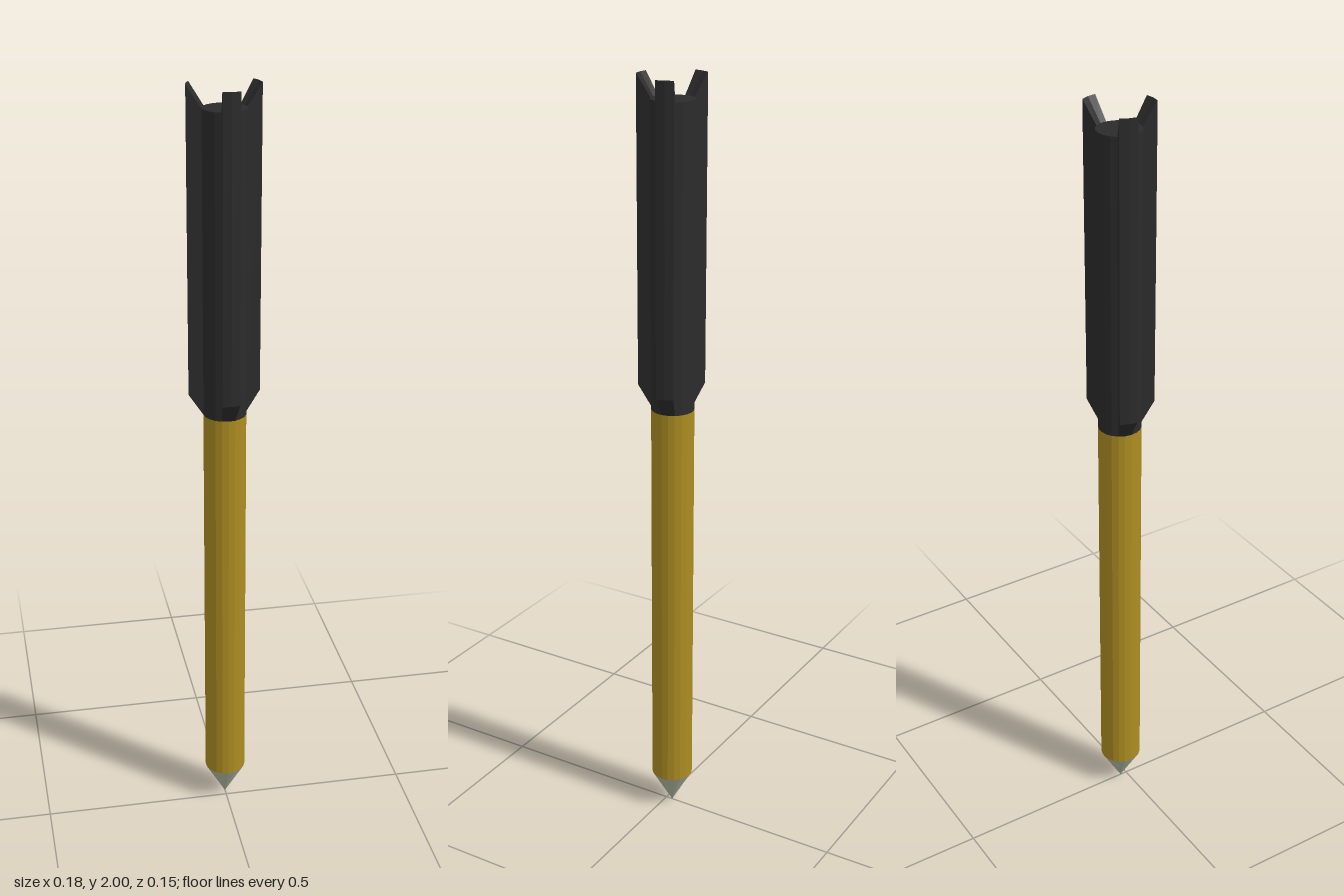
import * as THREE from 'three';

const SIDES = 20;
const STEP = (Math.PI * 2) / SIDES;
const RADIUS = 0.055;
const AXIS_Z = -0.0185; // the shaft sits slightly behind the centre of the bounds
const TIP_TOP = 0.097, GRIP_TOP = 1.17, FLIGHT_TOP = 1.945;

const material = (color) => new THREE.MeshStandardMaterial({ color, flatShading: true });

function addPart(parent, name, geometry, mat) {
  const mesh = new THREE.Mesh(geometry, mat);
  mesh.name = name;
  parent.add(mesh);
  return mesh;
}

// Cylinder or cone section between two heights
function section(rTop, rBottom, y0, y1) {
  return new THREE.CylinderGeometry(rTop, rBottom, y1 - y0, SIDES).translate(0, (y0 + y1) / 2, 0);
}

// Fin two facets wide: its outer edge is swept upward and narrows in angle
function finGeometry() {
  const geometry = new THREE.BoxGeometry(2, 1, 1, 2, 1, 1);
  const p = geometry.attributes.position;
  for (let i = 0; i < p.count; i++) {
    const outer = p.getZ(i) > 0;
    const angle = p.getX(i) * (outer ? STEP * 0.78 : STEP);
    const r = outer ? 0.092 : RADIUS;
    const y = (p.getY(i) > 0 ? FLIGHT_TOP : GRIP_TOP) + (outer ? 0.055 : 0);
    p.setXYZ(i, Math.sin(angle) * r, y, Math.cos(angle) * r);
  }
  geometry.computeVertexNormals();
  return geometry;
}

export function createModel() {
  const group = new THREE.Group();
  group.name = 'dart';
  const shaft = new THREE.Group();
  shaft.name = 'shaft';
  shaft.position.z = AXIS_Z;
  group.add(shaft);

  const black = material(0x2b2b2b);

  addPart(shaft, 'tip', section(0, RADIUS, 0, TIP_TOP).rotateX(Math.PI)
    .translate(0, TIP_TOP, 0), material(0xb0b5a2));
  addPart(shaft, 'barrel', section(RADIUS, RADIUS, TIP_TOP, GRIP_TOP), material(0xac8c22));
  addPart(shaft, 'flightCore', section(RADIUS, RADIUS, GRIP_TOP, FLIGHT_TOP), black);

  // Three fins, six facets apart, starting from the front
  const fin = finGeometry();
  ['frontFin', 'leftFin', 'rightFin'].forEach((name, i) => {
    addPart(shaft, name, fin, black).rotation.y = [0, 6, -6][i] * STEP;
  });

  return group;
}
